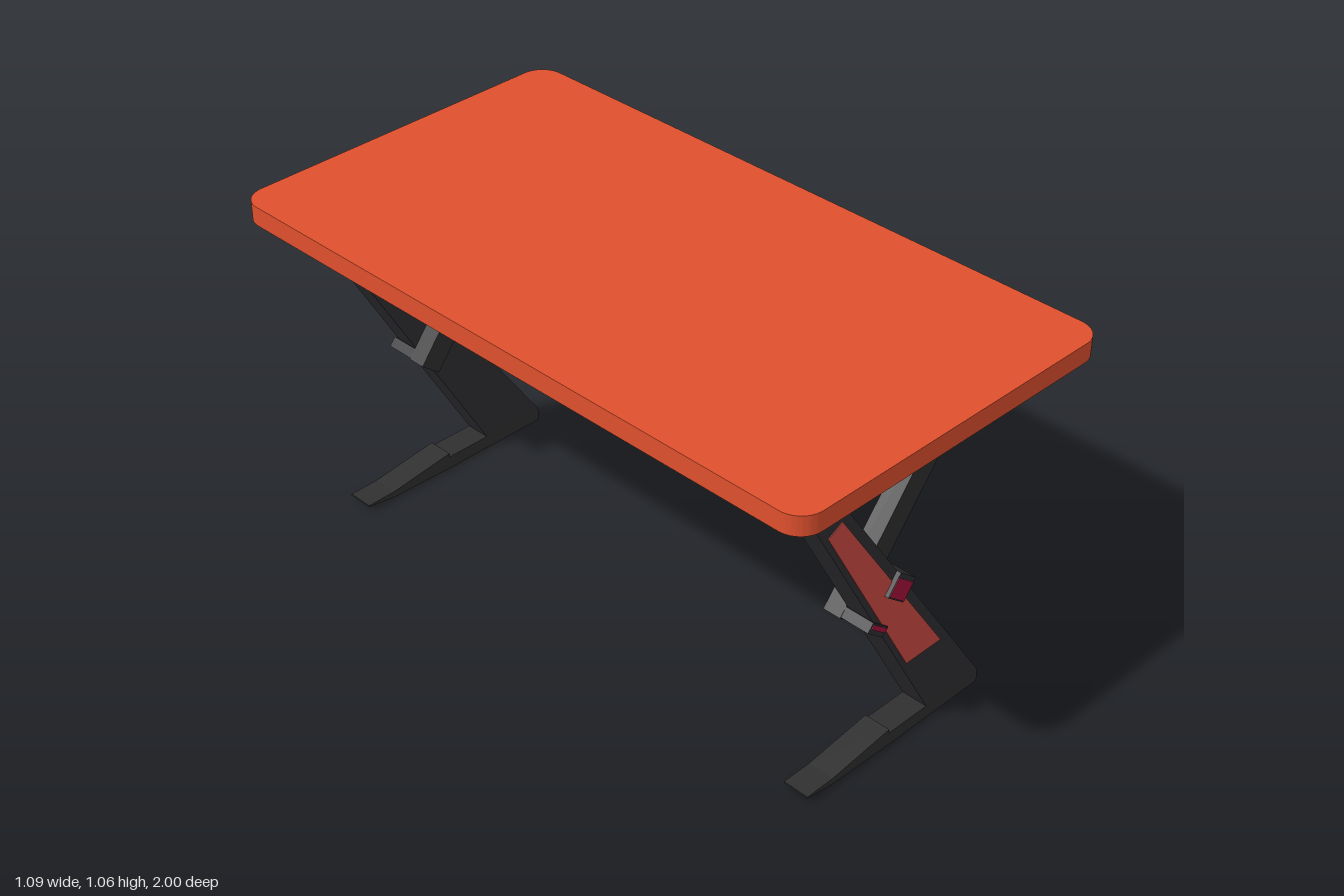
import * as THREE from 'three';
import { toCreasedNormals } from 'three/addons/utils/BufferGeometryUtils.js';

const material = (color) => new THREE.MeshStandardMaterial({ color });
const orange = material(0xe0502e);
const dark = material(0x303034);
const charcoal = material(0x2f302f);
const red = material(0xd24b43);
const crimson = material(0xa80f3c);

const MID_Z = -0.0225; // the two leg frames mirror about this plane

// Side profile in x/y, extruded between two distances from the mirror plane
function slab(name, points, inner, outer, side, mat) {
  const shape = new THREE.Shape(points.map(([x, y]) => new THREE.Vector2(x, y)));
  const geometry = new THREE.ExtrudeGeometry(shape, { depth: outer - inner, bevelEnabled: false });
  geometry.translate(0, 0, MID_Z + (side > 0 ? inner : -outer));
  const mesh = new THREE.Mesh(geometry, mat);
  mesh.name = name;
  return mesh;
}

// Box lined up with the diagonal brace
const BRACE_ANGLE = Math.atan2(0.785, 0.62);
function braceBox(name, x, y, along, across, inner, outer, side, mat) {
  const mesh = new THREE.Mesh(new THREE.BoxGeometry(along, across, outer - inner), mat);
  mesh.position.set(x, y, MID_Z + side * (inner + outer) / 2);
  mesh.rotation.z = BRACE_ANGLE;
  mesh.name = name;
  return mesh;
}

function createLegFrame(side) {
  const frame = new THREE.Group();
  frame.name = side > 0 ? 'frontLegFrame' : 'backLegFrame';
  frame.add(
    // Slanted post, wider towards the floor
    slab('post', [[0.127, 0.04], [0.335, 0.04], [-0.33, 1.005], [-0.427, 1.005]],
      0.8125, 0.8925, side, dark),
    // Foot with a raised step and a thin toe
    slab('foot', [[0.335, 0], [0.335, 0.04], [-0.02, 0.04], [-0.02, 0.052], [-0.235, 0.024],
      [-0.328, 0.023], [-0.328, 0.018], [-0.235, 0.005], [-0.03, 0]],
      0.8125, 0.8925, side, charcoal),
    // Coloured inlay on the outer face
    slab('postPanel', [[0.028, 0.245], [0.162, 0.245], [-0.252, 0.843], [-0.3, 0.817]],
      0.888, 0.8945, side, red),
    // Diagonal brace on the inner face
    slab('brace', [[-0.144, 0.443], [-0.086, 0.397], [0.397, 1.005], [0.3, 1.005]],
      0.7575, 0.8125, side, charcoal),
    // Clamps joining brace and post, with coloured caps
    braceBox('upperClamp', -0.027, 0.527, 0.07, 0.075, 0.8, 0.906, side, dark),
    braceBox('upperClampCap', -0.03, 0.523, 0.053, 0.072, 0.9, 0.908, side, crimson),
    braceBox('lowerClamp', -0.103, 0.434, 0.03, 0.075, 0.8, 0.901, side, dark),
    braceBox('lowerClampCap', -0.1, 0.437, 0.013, 0.065, 0.895, 0.903, side, crimson),
  );
  return frame;
}

// Flat top with rounded corners
function createTabletop() {
  const w = 0.543, l = 1, r = 0.07;
  const shape = new THREE.Shape();
  shape.absarc(w - r, l - r, r, 0, Math.PI / 2);
  shape.absarc(-w + r, l - r, r, Math.PI / 2, Math.PI);
  shape.absarc(-w + r, -l + r, r, Math.PI, Math.PI * 1.5);
  shape.absarc(w - r, -l + r, r, Math.PI * 1.5, Math.PI * 2);
  const geometry = new THREE.ExtrudeGeometry(shape, { depth: 0.057, bevelEnabled: false, curveSegments: 8 });
  geometry.rotateX(-Math.PI / 2);
  geometry.translate(0, 1.005, 0);
  const mesh = new THREE.Mesh(toCreasedNormals(geometry, 0.6), orange);
  mesh.name = 'tabletop';
  return mesh;
}

export function createModel() {
  const desk = new THREE.Group();
  desk.name = 'desk';
  desk.add(createTabletop(), createLegFrame(1), createLegFrame(-1));
  return desk;
}
